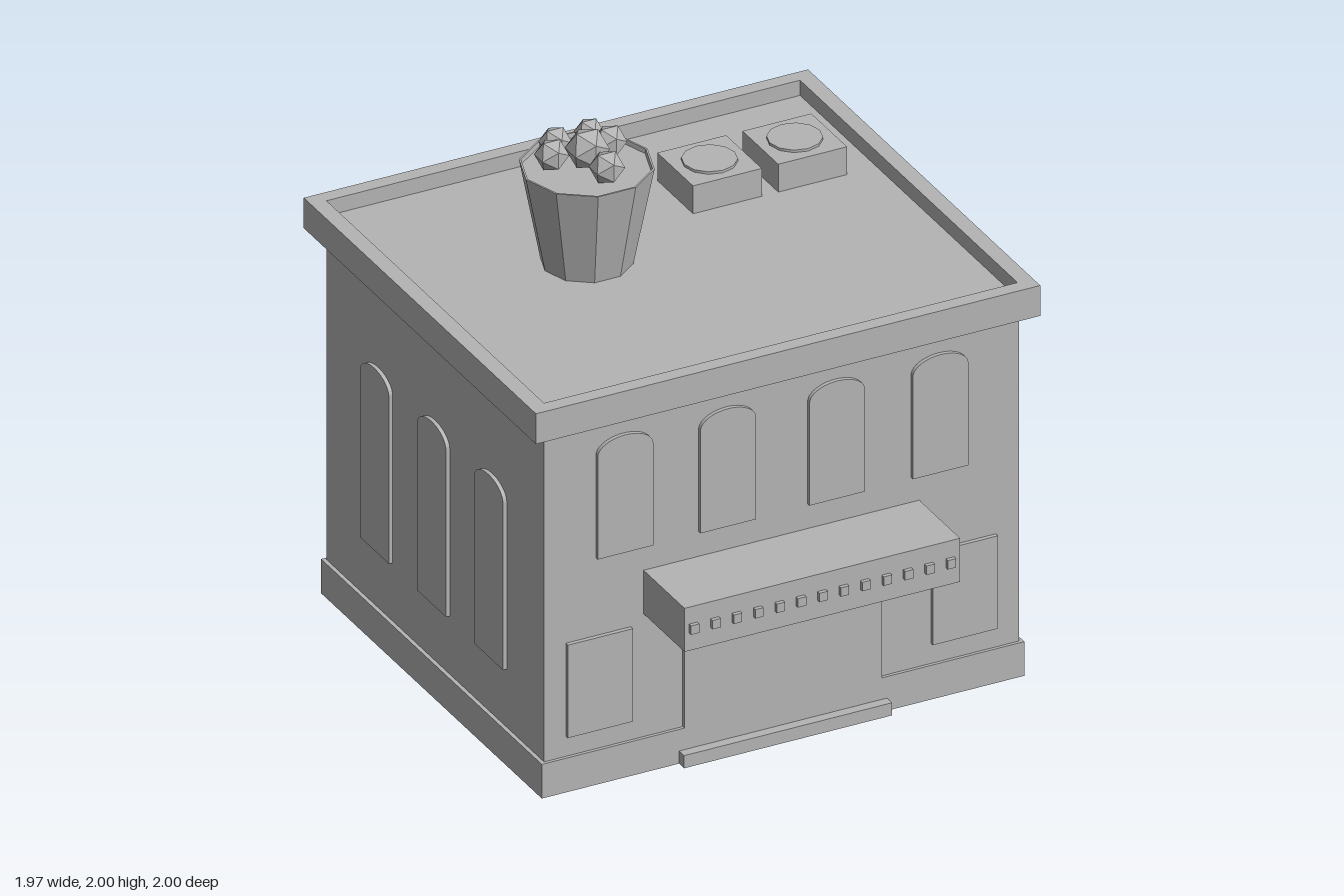
import * as THREE from 'three';

export function createModel() {
  const model = new THREE.Group();
  model.name = 'building';
  const stone = new THREE.MeshStandardMaterial({ color: 0xb4b4b4 });
  stone.name = 'grey stone';

  const add = (name, geometry, x = 0, y = 0, z = 0, parent = model) => {
    const mesh = new THREE.Mesh(geometry, stone);
    mesh.name = name;
    mesh.position.set(x, y, z);
    parent.add(mesh);
    return mesh;
  };
  // Box given by its limits on each axis
  const block = (name, x0, x1, y0, y1, z0, z1) =>
    add(name, new THREE.BoxGeometry(x1 - x0, y1 - y0, z1 - z0),
      (x0 + x1) / 2, (y0 + y1) / 2, (z0 + z1) / 2);
  // Hollow rectangular frame lying flat
  const frame = (name, w, d, innerW, innerD, y, height, z) => {
    const rect = (P, a, b) => new P([[-a, -b], [a, -b], [a, b], [-a, b]]
      .map(([px, py]) => new THREE.Vector2(px / 2, py / 2)));
    const shape = rect(THREE.Shape, w, d);
    shape.holes.push(rect(THREE.Path, innerW, innerD));
    const geo = new THREE.ExtrudeGeometry(shape, { depth: height, bevelEnabled: false });
    geo.rotateX(-Math.PI / 2);
    return add(name, geo, 0, y, z);
  };

  // Walls, hollow plinth, cornice with sunken roof
  block('walls', -0.925, 0.925, 0.135, 1.43, -0.94, 0.68);
  frame('plinth', 1.88, 1.645, 1.85, 1.62, 0, 0.135, -0.13);
  block('roofDeck', -0.95, 0.95, 1.43, 1.49, -0.97, 0.70);
  frame('cornice', 1.965, 1.73, 1.845, 1.62, 1.43, 0.12, -0.135);

  // Arched windows with a shallow elliptical head
  const archedWindow = (height) => {
    const w = 0.108, spring = height - 0.06;
    const s = new THREE.Shape();
    s.moveTo(-w, 0);
    s.lineTo(w, 0);
    s.lineTo(w, spring);
    s.absellipse(0, spring, w, 0.06, 0, Math.PI, false, 0);
    s.lineTo(-w, 0);
    return new THREE.ExtrudeGeometry(s, { depth: 0.015, bevelEnabled: false, curveSegments: 10 });
  };
  const frontWindow = archedWindow(0.465);
  for (const x of [-0.615, -0.215, 0.21, 0.613]) add('frontWindow', frontWindow, x, 0.89, 0.68);
  const sideWindow = archedWindow(0.72);
  for (const side of [-1, 1]) {
    for (const z of [0.295, -0.13, -0.555]) {
      add('sideWindow', sideWindow, side * 0.925, 0.365, z).rotation.y = side * Math.PI / 2;
    }
  }

  // Entrance, display panels and step
  block('entrance', -0.385, 0.385, 0.135, 0.582, 0.67, 0.6925);
  block('displayPanel', -0.84, -0.587, 0.215, 0.582, 0.67, 0.696);
  block('displayPanel', 0.582, 0.836, 0.215, 0.582, 0.67, 0.696);
  block('step', -0.405, 0.405, 0, 0.05, 0.68, 0.73);

  // Marquee with a row of lamps
  block('marquee', -0.537, 0.537, 0.62, 0.792, 0.67, 0.985);
  for (let i = 0; i < 13; i++) {
    const x = -0.503 + i * 0.0834;
    block('lamp', x - 0.016, x + 0.016, 0.69, 0.725, 0.98, 1.0);
  }

  // Roof vents
  for (const x of [0.34, 0.672]) {
    block('ventBox', x - 0.134, x + 0.134, 1.48, 1.6, -0.638, -0.372);
    add('ventFan', new THREE.CylinderGeometry(0.098, 0.098, 0.02, 12), x, 1.6, -0.505);
  }

  // Ten-sided tapered tub filled with faceted balls
  const tub = new THREE.Group();
  tub.name = 'tub';
  tub.position.set(-0.272, 0, -0.25);
  model.add(tub);
  const profile = [[0.161, 1.48], [0.237, 1.87], [0.23, 1.87], [0.227, 1.853], [0, 1.853]]
    .map(([r, y]) => new THREE.Vector2(r, y));
  const tubGeo = new THREE.LatheGeometry(profile, 10).toNonIndexed();
  tubGeo.rotateY(Math.PI / 2);
  tubGeo.computeVertexNormals();
  add('tubShell', tubGeo, 0, 0, 0, tub);
  const balls = [
    [0.002, 1.928, 0, 0.074], [-0.113, 1.91, -0.045, 0.058], [0.11, 1.91, -0.04, 0.058],
    [-0.06, 1.91, -0.12, 0.056], [0.077, 1.91, -0.13, 0.05], [0.017, 1.908, 0.117, 0.06],
  ];
  for (const [x, y, z, r] of balls) {
    add('ball', new THREE.IcosahedronGeometry(r * 1.06, 0), x, y, z, tub);
  }

  // Settle the highest ball at the full height of two units
  const top = new THREE.Box3().setFromObject(tub).max.y;
  for (const part of tub.children) if (part.name === 'ball') part.position.y += 1.998 - top;
  return model;
}
